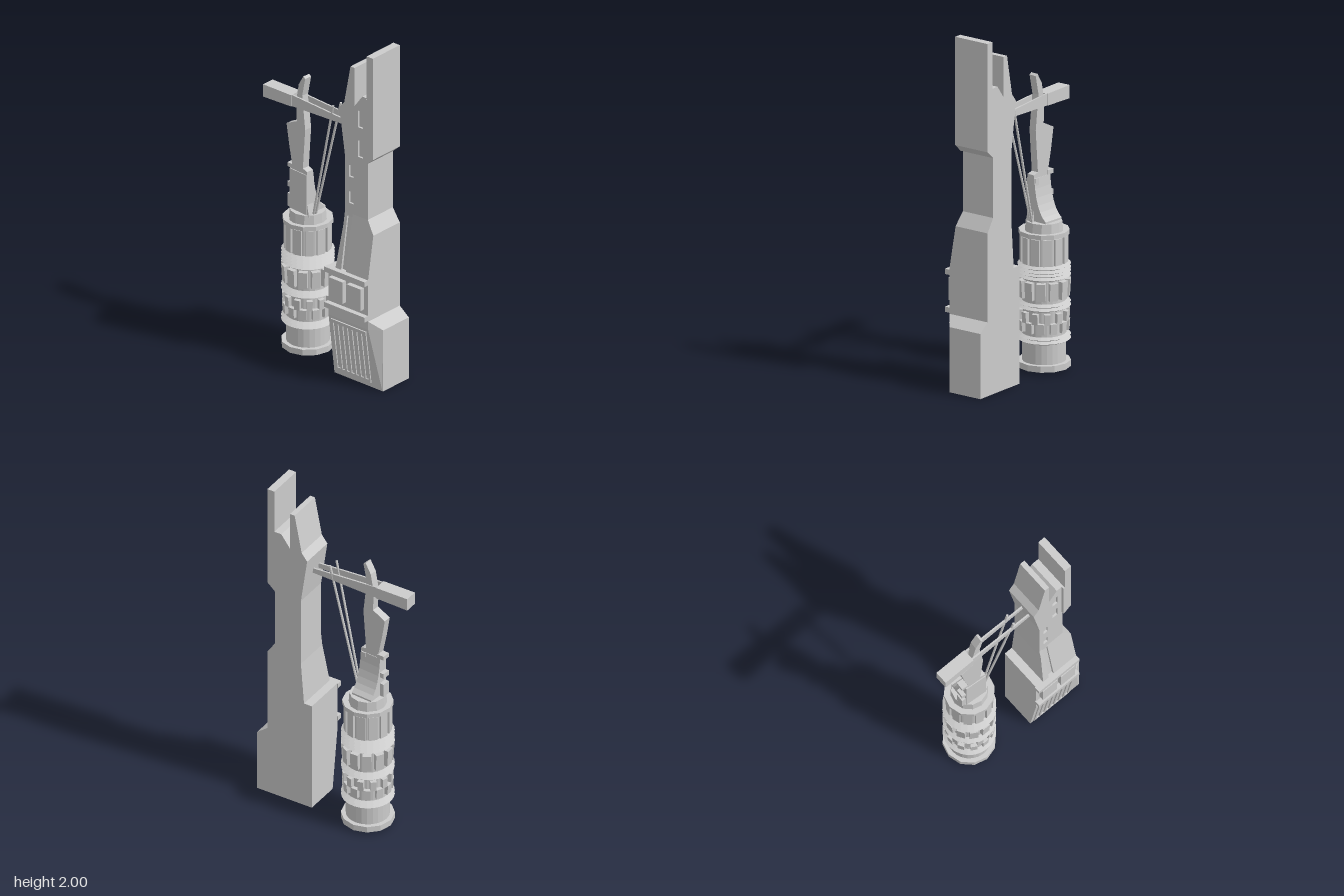
import * as THREE from 'three';

const mat = new THREE.MeshStandardMaterial({ color: 0xcccccc, flatShading: true, side: THREE.DoubleSide });

function add(parent, name, geometry, x = 0, y = 0, z = 0) {
  const m = new THREE.Mesh(geometry, mat);
  m.name = name;
  m.position.set(x, y, z);
  parent.add(m);
  return m;
}

// box given by its extents on each axis
function box(parent, name, x0, x1, y0, y1, z0, z1) {
  return add(parent, name, new THREE.BoxGeometry(x1 - x0, y1 - y0, z1 - z0),
    (x0 + x1) / 2, (y0 + y1) / 2, (z0 + z1) / 2);
}

const toPath = (pts) => pts.map(([a, b]) => new THREE.Vector2(a, b));

// side profile of (z, y) points, extruded across x0..x1
function sideExtrude(pts, x0, x1, holes = []) {
  const s = new THREE.Shape(toPath(pts));
  for (const [z0, z1, y0, y1] of holes) {
    s.holes.push(new THREE.Path(toPath([[z0, y0], [z0, y1], [z1, y1], [z1, y0]])));
  }
  return new THREE.ExtrudeGeometry(s, { depth: x1 - x0, bevelEnabled: false })
    .rotateY(-Math.PI / 2).translate(x1, 0, 0);
}

// stacked rings of [x, z] corners: front left, front right, back right, back left
function loft(levels) {
  const v = [];
  const p = (i, j) => {
    const [y, ring] = levels[i];
    const [x, z] = ring[j % ring.length];
    return [x, y, z];
  };
  const n = levels[0][1].length, top = levels.length - 1;
  for (let i = 0; i < top; i++) {
    for (let j = 0; j < n; j++) {
      v.push(p(i, j), p(i, j + 1), p(i + 1, j + 1), p(i, j), p(i + 1, j + 1), p(i + 1, j));
    }
  }
  for (let k = 1; k < n - 1; k++) {
    v.push(p(top, 0), p(top, k), p(top, k + 1), p(0, 0), p(0, k + 1), p(0, k));
  }
  const g = new THREE.BufferGeometry();
  g.setAttribute('position', new THREE.Float32BufferAttribute(v.flat(), 3));
  g.computeVertexNormals();
  return g;
}

function rod(parent, name, a, b, r) {
  const A = new THREE.Vector3(...a), B = new THREE.Vector3(...b), d = B.clone().sub(A);
  const m = add(parent, name, new THREE.CylinderGeometry(r, r, d.length(), 8));
  m.position.copy(A).add(B).multiplyScalar(0.5);
  m.quaternion.setFromUnitVectors(new THREE.Vector3(0, 1, 0), d.normalize());
}

function buildTower() {
  const g = new THREE.Group();
  g.name = 'tower';
  const R = 0.105;

  // foot block, widening upwards on its right side
  const foot = (x, z, xs, zs) => [[x, z], [R, z], [R, 0.105], [xs, 0.105], [xs, zs]];
  add(g, 'footBlock', loft([
    [0, foot(-0.105, 0.455, -0.106, 0.45)],
    [0.37, foot(-0.105, 0.455, -0.155, 0.39)],
    [0.42, foot(-0.154, 0.39, -0.155, 0.389)],
    [0.67, foot(-0.154, 0.39, -0.155, 0.389)],
  ]));

  // flared buttress with a slot down its right side
  const ring = (x, r, f, b) => [[x, f], [r, f], [r, b], [x, b]];
  for (const [f, b, ft, bt] of [[0.39, 0.23, 0.34, 0.23], [0.195, 0.155, 0.195, 0.175]]) {
    add(g, 'buttress', loft([
      [0.67, ring(-0.155, R, f, b)],
      [0.925, ring(-0.112, R, f, bt)],
      [1.0, ring(-0.1, R, ft, bt)],
    ]));
  }
  add(g, 'slotBase', loft([[0.67, ring(-0.14, R, 0.23, 0.195)], [1.0, ring(-0.09, R, 0.23, 0.195)]]));

  // upper shaft with window recesses in its right skin
  const shaft = [[0.34, 0.98], [0.34, 1.735], [0.3, 1.735], [0.245, 1.66], [0.245, 1.89], [0.215, 1.89],
    [0.17, 1.66], [0.135, 1.615], [0.175, 1.34], [0.175, 0.98]];
  add(g, 'shaft', sideExtrude(shaft, -0.088, R));
  add(g, 'shaftSkin', sideExtrude(shaft, -0.1, -0.088, [
    [0.205, 0.235, 1.06, 1.13], [0.205, 0.235, 1.22, 1.29],
    [0.27, 0.305, 1.36, 1.46], [0.27, 0.305, 1.54, 1.64],
  ]));
  add(g, 'frontSlab', sideExtrude(
    [[0.34, 1.34], [0.39, 1.385], [0.39, 2], [0.345, 2], [0.345, 1.735], [0.335, 1.735], [0.335, 1.34]], -0.115, R));

  // ledges and the panels between them
  for (const y of [0.425, 0.64]) box(g, 'ledge', -0.185, -0.15, y, y + 0.03, 0.1, 0.39);
  for (const z of [0.13, 0.26]) {
    box(g, 'sidePanel', -0.183, -0.15, 0.485, 0.615, z, z + 0.1);
  }

  // sloping grille
  const grille = new THREE.Group();
  grille.name = 'grille';
  grille.position.set(-0.131, 0.19, 0.25);
  grille.rotation.z = 0.135;
  for (const s of [-1, 1]) {
    box(grille, 'grilleRail', -0.007, 0.01, s * 0.155 - 0.01, s * 0.155 + 0.01, -0.125, 0.125);
  }
  for (let i = 0; i < 8; i++) {
    const z = -0.118 + i * 0.0337;
    box(grille, 'grilleSlat', -0.007, 0.01, -0.15, 0.15, z - 0.007, z + 0.007);
  }
  g.add(grille);
  return g;
}

function buildDrum() {
  const g = new THREE.Group();
  g.name = 'drum';
  g.position.set(0.035, 0, -0.21);

  // smooth core, open at the bottom
  add(g, 'core', new THREE.LatheGeometry(toPath([[0, 0.14], [0.112, 0.14], [0.118, 0.02],
    [0.12, 0.02], [0.12, 0.77], [0, 0.77]]), 24));
  // twelve-sided rims
  const rim = (name, r, y0, y1) => add(g, name, new THREE.LatheGeometry(
    toPath([[0.115, y0], [r, y0], [r, y1], [0.115, y1]]), 12));
  rim('baseRim', 0.147, 0.015, 0.05);
  rim('topRim', 0.14, 0.765, 0.79);
  add(g, 'cap', new THREE.CylinderGeometry(0.1, 0.105, 0.07, 12), 0, 0.805, 0);
  add(g, 'topPlate', new THREE.CylinderGeometry(0.135, 0.135, 0.01, 12), 0, 0.775, 0);

  // pointed double rings
  for (const y of [0.185, 0.372, 0.545, 0.585]) {
    const pts = [];
    for (const d of [-0.011, 0.011]) pts.push([0.122, y + d - 0.011], [0.146, y + d], [0.122, y + d + 0.011]);
    add(g, 'pointedRing', new THREE.LatheGeometry(toPath(pts), 24));
  }

  // rows of blocks around the drum
  const row = (name, y0, y1, r, w, offset, tilt) => {
    for (let i = 0; i < 12; i++) {
      const holder = new THREE.Group();
      holder.name = name;
      holder.rotation.y = (i + offset) * Math.PI / 6;
      const b = box(holder, name, -w / 2, w / 2, y0, y1, 0.105, r);
      b.rotation.x = tilt;
      g.add(holder);
    }
  };
  row('lowerBlock', 0.225, 0.285, 0.139, 0.038, 0, 0.06);
  row('lowerBlock', 0.28, 0.34, 0.139, 0.034, 0.5, 0.06);
  row('middleBlock', 0.415, 0.515, 0.142, 0.048, 0, 0.06);
  row('upperPanel', 0.61, 0.76, 0.13, 0.046, 0.5, 0);
  return g;
}

function buildMast() {
  const pivot = new THREE.Group();
  pivot.name = 'mast';
  pivot.position.set(0.03, 0, -0.21);
  pivot.rotation.y = -0.08;
  const g = new THREE.Group();
  g.name = 'mastParts';
  g.position.set(-0.03, 0, 0.21);
  pivot.add(g);

  // notched post
  add(g, 'post', sideExtrude([[-0.135, 0.83], [-0.15, 0.9], [-0.15, 1.1], [-0.183, 1.11], [-0.165, 1.35],
    [-0.188, 1.55], [-0.165, 1.66], [-0.18, 1.67], [-0.215, 1.61], [-0.235, 1.5], [-0.23, 1.38],
    [-0.31, 1.34], [-0.29, 1.22], [-0.265, 1.1], [-0.275, 0.83]], -0.03, 0.015));
  // curved root spreading to the left side
  const s = new THREE.Shape();
  s.moveTo(-0.035, 0.83);
  s.lineTo(0.1, 0.83);
  s.lineTo(0.1, 0.85);
  s.quadraticCurveTo(0.03, 0.9, 0.018, 1.08);
  s.lineTo(-0.035, 1.08);
  add(g, 'postRoot', new THREE.ExtrudeGeometry(s, { depth: 0.13, bevelEnabled: false, curveSegments: 6 }), 0, 0, -0.28);
  box(g, 'cheekBlock', -0.034, 0.022, 1.02, 1.08, -0.185, -0.155);
  for (const [y0, y1] of [[0.84, 0.92], [0.96, 0.99], [1.08, 1.105]]) {
    box(g, 'rearTooth', -0.028, 0.02, y0, y1, -0.305, -0.26);
  }
  return pivot;
}

export function createModel() {
  const model = new THREE.Group();
  model.name = 'towerWithDrum';
  model.add(buildTower(), buildDrum(), buildMast());

  // forked beam from the tower, straddling the mast
  add(model, 'beam', sideExtrude([[-0.455, 1.465], [-0.455, 1.54], [-0.255, 1.54], [-0.255, 1.472]], -0.053, 0.024));
  for (const x of [-0.047, 0.01]) {
    add(model, 'beamProng', sideExtrude([[-0.26, 1.472], [-0.26, 1.54], [0.16, 1.515], [0.16, 1.487]], x, x + 0.01));
  }

  // thin stays down to the drum
  rod(model, 'stay', [-0.043, 1.57, 0.04], [0, 0.83, -0.14], 0.007);
  rod(model, 'stay', [0.015, 1.57, 0.045], [0.012, 0.83, -0.135], 0.007);
  return model;
}
